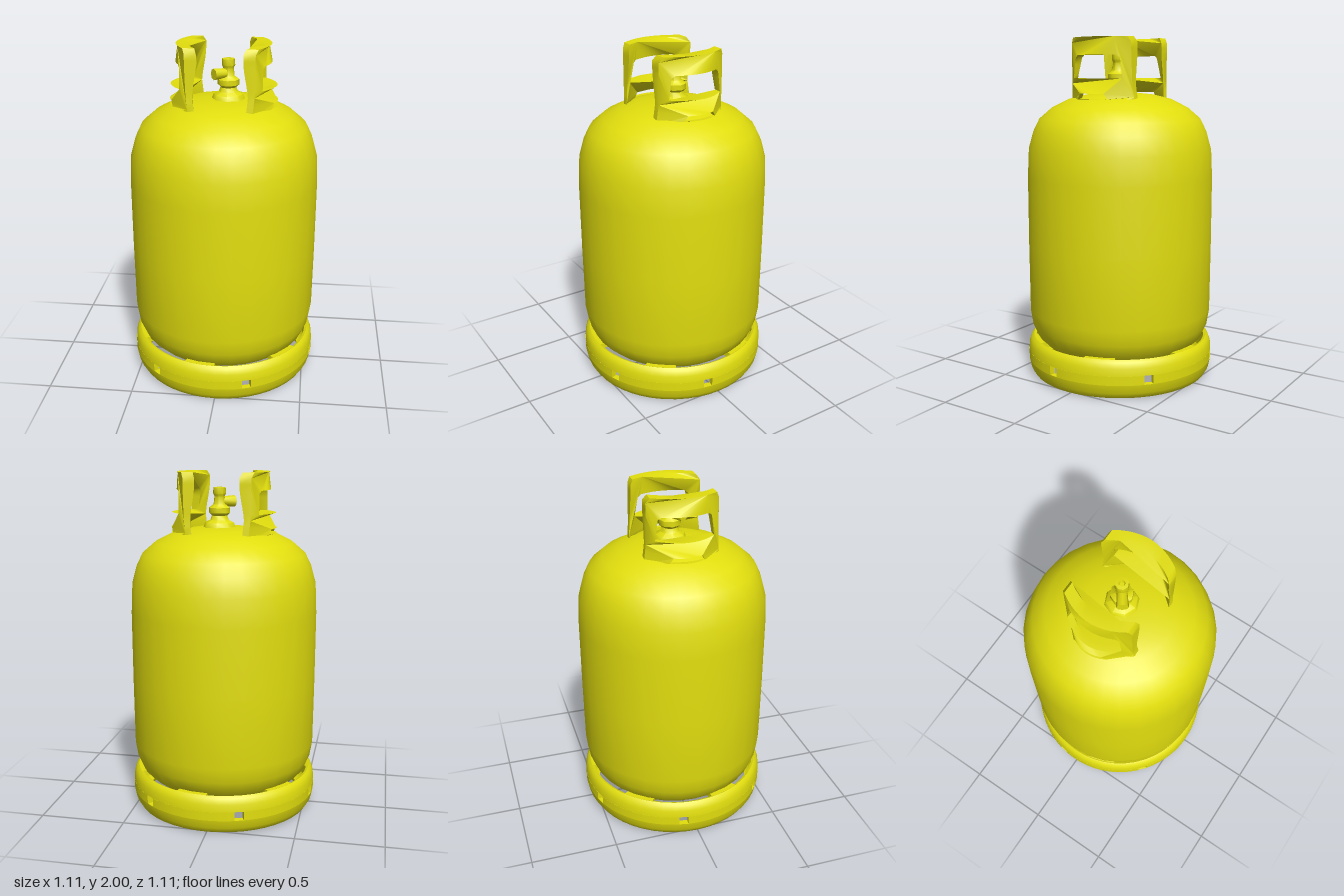
import * as THREE from 'three';
import { toCreasedNormals } from 'three/addons/utils/BufferGeometryUtils.js';

const yellow = new THREE.MeshStandardMaterial({ color: 0xe2de0e });
yellow.name = 'yellow paint';
const rad = THREE.MathUtils.degToRad;

function add(parent, name, geometry, crease = 0.8) {
  const mesh = new THREE.Mesh(toCreasedNormals(geometry, crease), yellow);
  mesh.name = name;
  parent.add(mesh);
  return mesh;
}

function lathe(points, segments) {
  return new THREE.LatheGeometry(points.map(([r, y]) => new THREE.Vector2(r, y)), segments);
}

// Solid curved block between two radii, angles in degrees, from y0 to y1
function arcBlock(inner, outer, from, to, y0, y1) {
  const shape = new THREE.Shape();
  shape.absarc(0, 0, outer, rad(from), rad(to), false);
  shape.absarc(0, 0, inner, rad(to), rad(from), true);
  const g = new THREE.ExtrudeGeometry(shape, { depth: y1 - y0, bevelEnabled: false, curveSegments: 10 });
  return g.rotateX(-Math.PI / 2).translate(0, y0, 0);
}

// Polygon outline with every edge cut into short steps, so it can be bent
function outline(corners) {
  const points = [];
  corners.forEach(([x, y], i) => {
    const [nx, ny] = corners[(i + 1) % corners.length];
    const steps = Math.max(1, Math.round(Math.hypot(nx - x, ny - y) / 0.035));
    for (let s = 0; s < steps; s++) {
      points.push(new THREE.Vector2(x + (nx - x) * s / steps, y + (ny - y) * s / steps));
    }
  });
  return points;
}

function handleGeometry(side) {
  const shape = new THREE.Shape(outline([
    [-0.215, 1.63], [0.215, 1.63], [0.205, 1.74], [0.2, 1.97], [0.185, 2], [-0.185, 2], [-0.205, 1.97], [-0.205, 1.74],
  ]));
  // Grip opening and drain slit
  shape.holes.push(new THREE.Path(outline([
    [-0.165, 1.77], [-0.15, 1.885], [-0.13, 1.9], [0.13, 1.9], [0.15, 1.885], [0.165, 1.77],
  ])));
  shape.holes.push(new THREE.Path(outline([[-0.1, 1.655], [-0.08, 1.685], [0.08, 1.685], [0.1, 1.655]])));
  const g = new THREE.ExtrudeGeometry(shape, { depth: 1, bevelEnabled: false });
  // Turn the plate to face sideways, then bow it outwards and thicken its top
  g.rotateY(Math.PI / 2);
  const p = g.attributes.position;
  for (let i = 0; i < p.count; i++) {
    const y = p.getY(i), z = p.getZ(i);
    const up = THREE.MathUtils.smoothstep(y, 1.72, 1.94);
    const bow = (0.125 - 0.045 * up) * (1 - (z / 0.21) ** 2);
    const thick = 0.036 + 0.03 * up;
    p.setX(i, 0.165 - 0.01 * up + bow + (p.getX(i) - 0.5) * thick);
  }
  if (side < 0) g.rotateY(Math.PI);
  return g;
}

export function createModel() {
  const model = new THREE.Group();
  model.name = 'gasCylinder';

  // Pressure vessel with domed ends
  add(model, 'tank', lathe([
    [0, 0.1], [0.2, 0.115], [0.36, 0.15], [0.45, 0.19], [0.5, 0.24], [0.53, 0.31], [0.545, 0.4],
    [0.548, 0.8], [0.548, 1.2], [0.54, 1.36], [0.512, 1.46], [0.475, 1.535], [0.4, 1.6],
    [0.3, 1.65], [0.2, 1.675], [0.1, 1.685], [0, 1.687],
  ], 32), 1.2);

  // Foot ring: rolled lower lip, pierced middle band, upper rim and tabs
  const foot = new THREE.Group();
  foot.name = 'footRing';
  model.add(foot);
  add(foot, 'lowerLip', lathe([
    [0.48, 0.02], [0.5, 0.005], [0.525, 0.012], [0.545, 0.045], [0.555, 0.095],
    [0.52, 0.095], [0.505, 0.06], [0.475, 0.045], [0.48, 0.02],
  ], 48));
  add(foot, 'upperRim', lathe([
    [0.555, 0.148], [0.552, 0.19], [0.54, 0.222], [0.525, 0.235], [0.51, 0.228], [0.52, 0.19], [0.52, 0.148], [0.555, 0.148],
  ], 48));
  for (let i = 0; i < 6; i++) {
    const hole = -70 + i * 60;
    add(foot, 'pierced band', arcBlock(0.52, 0.555, hole + 2.8, hole + 57.2, 0.095, 0.148), 0.5);
    add(foot, 'mounting tab', arcBlock(0.46, 0.525, hole + 20, hole + 40, 0.2, 0.233), 0.5);
  }

  // Two bowed carrying handles
  add(model, 'leftHandle', handleGeometry(1));
  add(model, 'rightHandle', handleGeometry(-1));

  // Valve with side outlet and top knob
  const valve = new THREE.Group();
  valve.name = 'valve';
  valve.position.set(0.025, 0, -0.005);
  model.add(valve);
  add(valve, 'valveBody', lathe([
    [0.1, 1.67], [0.085, 1.71], [0.055, 1.725], [0.045, 1.75], [0.062, 1.765], [0.062, 1.795],
    [0.035, 1.815], [0.03, 1.86], [0.038, 1.875], [0.036, 1.91], [0.018, 1.912], [0.014, 1.895], [0, 1.895],
  ], 8));
  const outlet = new THREE.CylinderGeometry(0.033, 0.026, 0.1, 8);
  outlet.rotateZ(Math.PI / 2).translate(-0.045, 1.83, 0).rotateY(rad(36));
  add(valve, 'valveOutlet', outlet);

  return model;
}
